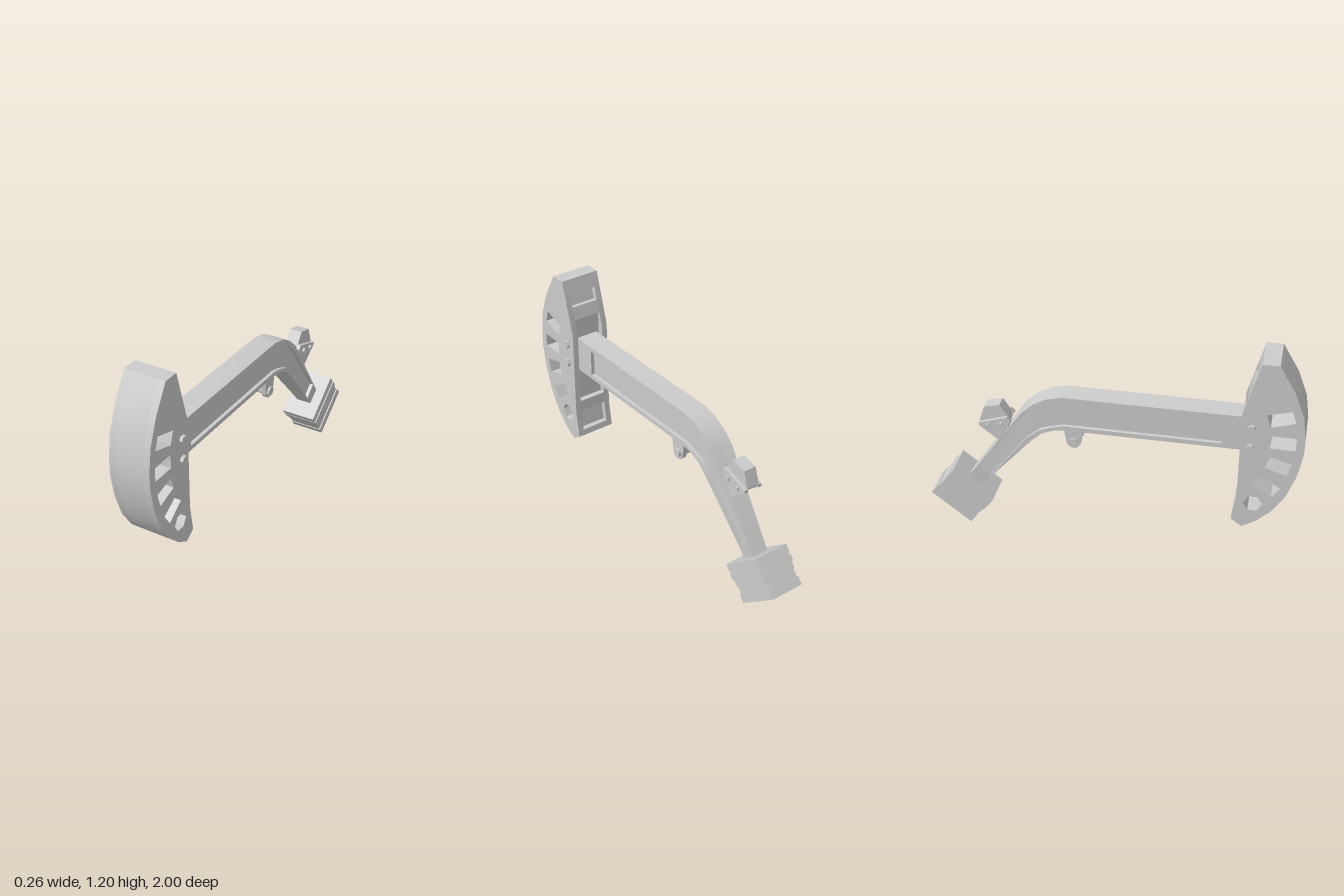
import * as THREE from 'three';
import { toCreasedNormals } from 'three/addons/utils/BufferGeometryUtils.js';

const grey = new THREE.MeshStandardMaterial({ color: 0xcccccc });

function add(parent, name, geometry) {
  const mesh = new THREE.Mesh(geometry, grey);
  mesh.name = name;
  parent.add(mesh);
  return mesh;
}

const vecs = (pts) => pts.map(([z, y]) => new THREE.Vector2(z, y));

// Side profile of [z, y] points, extruded across x from x0 to x1
function slab(points, x0, x1, holes = []) {
  const shape = new THREE.Shape(vecs(points));
  shape.holes = holes.map((h) => new THREE.Path(vecs(h)));
  const geo = new THREE.ExtrudeGeometry(shape, { depth: x1 - x0, bevelEnabled: false });
  geo.rotateY(-Math.PI / 2).translate(x1, 0, 0);
  return toCreasedNormals(geo, 0.4);
}

// Round or hexagonal pin lying along x
function pin(parent, name, z, y, radius, halfLength, sides) {
  const geo = new THREE.CylinderGeometry(radius, radius, halfLength * 2, sides).rotateZ(Math.PI / 2);
  add(parent, name, toCreasedNormals(geo, 0.6)).position.set(0, y, z);
}

// Curved head: two cheeks and a core notched at the rear to leave pockets
function buildHead() {
  const head = new THREE.Group();
  head.name = 'head';
  const front = [[0.656, 0.25], [0.715, 0.21], [0.785, 0.252], [0.86, 0.325], [0.93, 0.435],
    [0.977, 0.57], [1, 0.7], [1, 0.79], [0.982, 0.92], [0.93, 1.055], [0.844, 1.2], [0.758, 1.2]];
  const rear = [[0.678, 0.905], [0.678, 0.4]];
  const notchedRear = [[0.736, 1.12], [0.766, 1.112], [0.748, 1.045], [0.717, 1.05],
    [0.698, 0.98], [0.71, 0.975], [0.71, 0.47], [0.678, 0.47],
    [0.678, 0.405], [0.708, 0.405], [0.692, 0.285], [0.661, 0.285]];
  const hexagon = Array.from({ length: 6 }, (_, i) =>
    [0.764 + 0.05 * Math.cos(i * Math.PI / 3), 0.365 + 0.05 * Math.sin(i * Math.PI / 3)]);
  const holes = [
    [[0.925, 0.95], [0.8, 0.915], [0.823, 0.845], [0.946, 0.883]],
    [[0.957, 0.795], [0.828, 0.795], [0.828, 0.72], [0.957, 0.72]],
    [[0.946, 0.636], [0.833, 0.668], [0.812, 0.599], [0.925, 0.561]],
    [[0.898, 0.48], [0.79, 0.545], [0.753, 0.486], [0.855, 0.416]],
    hexagon,
  ];
  add(head, 'headCore', slab([...front, ...notchedRear], -0.08, 0.08, holes));
  add(head, 'leftCheek', slab([...front, ...rear], 0.08, 0.113, holes));
  add(head, 'rightCheek', slab([...front, ...rear], -0.113, -0.08, holes));
  for (const y of [0.829, 0.714]) pin(head, 'headBolt', 0.731, y, 0.022, 0.13, 6);
  return head;
}

// Bent beam lofted through I-shaped sections:
// [outer edge, recess top, recess bottom, inner edge, half width, recess depth]
function beamGeometry() {
  const straight = (z, d) => [[z, 0.86], [z, 0.835], [z, 0.685], [z, 0.66], 0.063, d];
  const recessEnd = (d) => [[-0.765, 0.325], [-0.745, 0.346], [-0.68, 0.287], [-0.665, 0.298], 0.046, d];
  const stations = [
    straight(0.72, 0), straight(0.58, 0), straight(0.58, 0.02), straight(-0.25, 0.02),
    [[-0.34, 0.84], [-0.33, 0.817], [-0.32, 0.668], [-0.31, 0.65], 0.063, 0.02],
    [[-0.41, 0.8], [-0.395, 0.782], [-0.385, 0.643], [-0.37, 0.625], 0.063, 0.02],
    [[-0.476, 0.74], [-0.455, 0.72], [-0.45, 0.588], [-0.43, 0.57], 0.063, 0.02],
    recessEnd(0.02), recessEnd(0),
    [[-0.81, 0.26], [-0.79, 0.25], [-0.755, 0.21], [-0.74, 0.21], 0.043, 0],
  ];
  const rings = stations.map(([o, ro, ri, i, w, d]) => {
    const side = [[w, o], [w, ro], [w - d, ro], [w - d, ri], [w, ri], [w, i]];
    const other = side.map(([x, p]) => [-x, p]).reverse();
    return [...side, ...other].map(([x, [z, y]]) => [x, y, z]);
  });
  const pos = [];
  for (let s = 0; s < rings.length - 1; s++) {
    const a = rings[s], b = rings[s + 1];
    for (let j = 0; j < a.length; j++) {
      const k = (j + 1) % a.length;
      pos.push(...a[j], ...a[k], ...b[j], ...a[k], ...b[k], ...b[j]);
    }
  }
  const geo = new THREE.BufferGeometry();
  geo.setAttribute('position', new THREE.Float32BufferAttribute(pos, 3));
  geo.computeVertexNormals();
  return toCreasedNormals(geo, 0.45);
}

// Pair of rounded ears with a cross pin under the beam
function buildLug() {
  const lug = new THREE.Group();
  lug.name = 'lowerLug';
  const ear = [[-0.245, 0.67], [-0.245, 0.64]];
  for (let i = 0; i <= 10; i++) {
    const a = Math.PI + (i / 10) * Math.PI;
    ear.push([-0.198 + 0.038 * Math.cos(a), 0.593 + 0.038 * Math.sin(a)]);
  }
  ear.push([-0.152, 0.64], [-0.152, 0.67]);
  for (const s of [-1, 1]) add(lug, 'lugEar', slab(ear, s * 0.048 - 0.013, s * 0.048 + 0.013));
  pin(lug, 'lugPin', -0.198, 0.593, 0.025, 0.072, 16);
  return lug;
}

// Small faceted block held between two bolted plates on the sloping leg
function buildBracket() {
  const bracket = new THREE.Group();
  bracket.name = 'upperBracket';
  const plate = [[-0.54, 0.675], [-0.558, 0.697], [-0.714, 0.646], [-0.714, 0.63], [-0.61, 0.55], [-0.585, 0.575]];
  const block = [[-0.555, 0.69], [-0.6, 0.758], [-0.685, 0.738], [-0.714, 0.65], [-0.7, 0.63], [-0.61, 0.555], [-0.56, 0.6]];
  add(bracket, 'bracketBlock', slab(block, -0.036, 0.036));
  for (const s of [-1, 1]) add(bracket, 'bracketPlate', slab(plate, s * 0.044 - 0.011, s * 0.044 + 0.011));
  for (const [z, y] of [[-0.59, 0.652], [-0.664, 0.637]]) pin(bracket, 'bracketBolt', z, y, 0.013, 0.068, 8);
  return bracket;
}

// Ribbed foot block, stacked along the axis of the leg: [start, end, half x, half depth]
function buildFoot() {
  const foot = new THREE.Group();
  foot.name = 'foot';
  const layers = [[0, 0.045, 0.1, 0.138], [0.045, 0.053, 0.094, 0.133], [0.053, 0.09, 0.102, 0.138],
    [0.09, 0.128, 0.095, 0.134], [0.128, 0.17, 0.088, 0.134], [0.17, 0.216, 0.094, 0.138]];
  for (const [t0, t1, hx, hz] of layers) {
    add(foot, 'footLayer', new THREE.BoxGeometry(hx * 2, t1 - t0, hz * 2)).position.y = -(t0 + t1) / 2;
  }
  foot.position.set(0, 0.257, -0.76);
  foot.rotation.x = 0.68;
  return foot;
}

export function createModel() {
  const model = new THREE.Group();
  model.name = 'model';
  model.add(buildHead());
  add(model, 'beam', beamGeometry());
  model.add(buildLug(), buildBracket(), buildFoot());
  return model;
}
